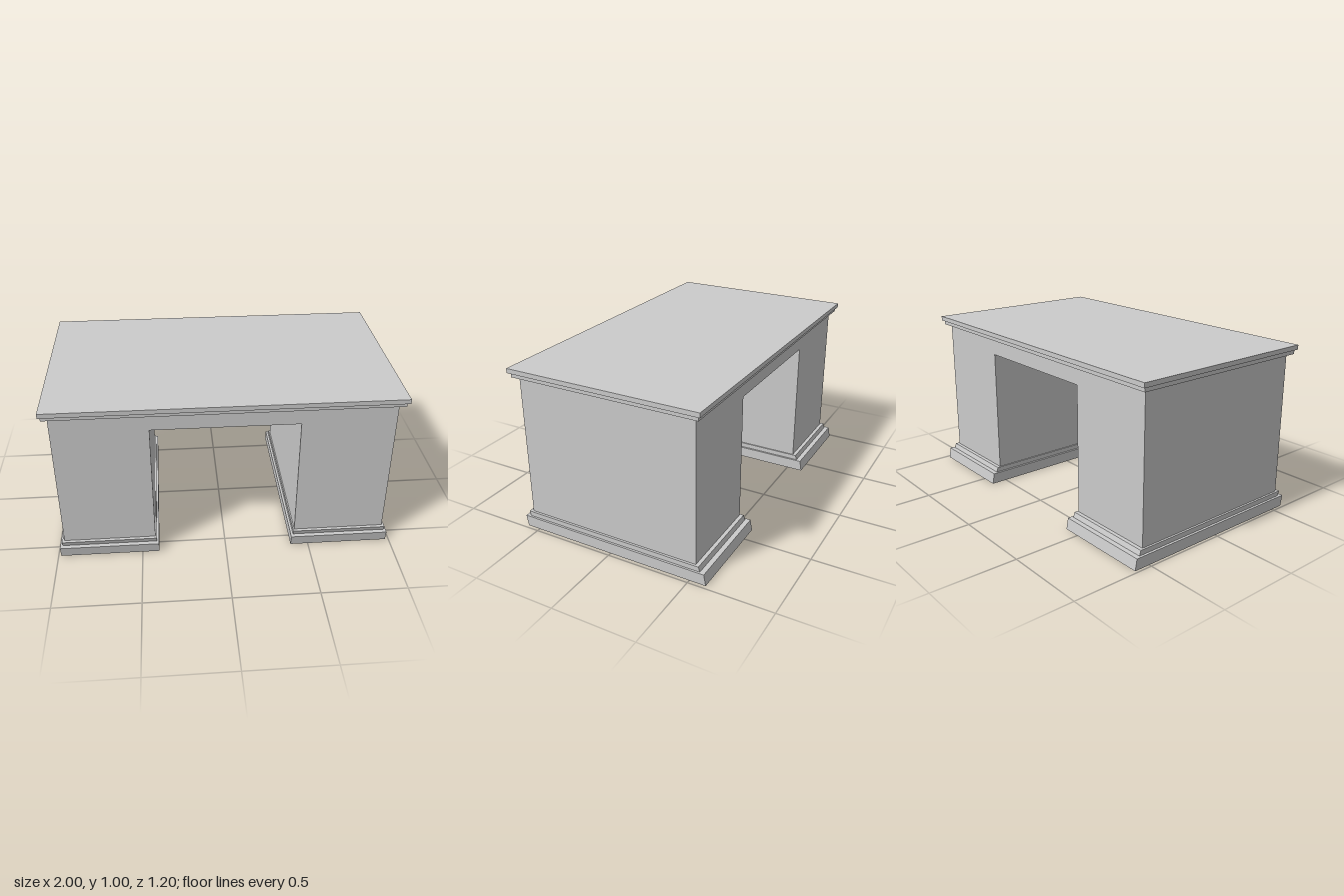
import * as THREE from 'three';

const material = new THREE.MeshStandardMaterial({ color: 0xcccccc, flatShading: true });

// Box between two corners; its top is shifted along z by lean
function slab(name, [x0, x1], [y0, y1], [z0, z1], lean = 0) {
  const geometry = new THREE.BoxGeometry(x1 - x0, y1 - y0, z1 - z0);
  geometry.translate((x0 + x1) / 2, (y0 + y1) / 2, (z0 + z1) / 2);
  const p = geometry.attributes.position;
  for (let i = 0; i < p.count; i++) {
    if (p.getY(i) > (y0 + y1) / 2) p.setZ(i, p.getZ(i) + lean);
  }
  geometry.computeVertexNormals();
  const mesh = new THREE.Mesh(geometry, material);
  mesh.name = name;
  return mesh;
}

export function createModel() {
  const desk = new THREE.Group();
  desk.name = 'desk';

  // Worktop with a stepped moulding below it
  desk.add(slab('worktop', [-1, 1], [0.973, 1], [-0.572, 0.6]));
  desk.add(slab('worktopMoulding', [-0.988, 0.986], [0.947, 0.973], [-0.557, 0.584]));

  // Two pedestals joined by the apron, with an open kneehole right through
  const bottom = 0.095, top = 0.947, kneeTop = 0.845;
  const outline = new THREE.Shape([
    [-0.958, bottom], [-0.42, bottom], [-0.42, kneeTop], [0.417, kneeTop],
    [0.417, bottom], [0.954, bottom], [0.954, top], [-0.958, top],
  ].map(([x, y]) => new THREE.Vector2(x, y)));
  const back = -0.526, front = 0.555;
  const bodyGeometry = new THREE.ExtrudeGeometry(outline, { depth: front - back, bevelEnabled: false });
  bodyGeometry.translate(0, 0, back);
  const body = new THREE.Mesh(bodyGeometry, material);
  body.name = 'pedestalsAndApron';
  desk.add(body);

  // Stepped plinth under each pedestal, leaning slightly forward
  for (const [side, x0, x1] of [['right', -0.984, -0.4], ['left', 0.395, 0.979]]) {
    const plinth = new THREE.Group();
    plinth.name = `${side}Plinth`;
    plinth.add(slab(`${side}PlinthBase`, [x0, x1], [0, 0.066], [-0.598, 0.581], 0.012));
    plinth.add(slab(`${side}PlinthStep`, [x0 + 0.014, x1 - 0.012], [0.066, 0.095], [-0.557, 0.566], 0.009));
    desk.add(plinth);
  }
  return desk;
}
